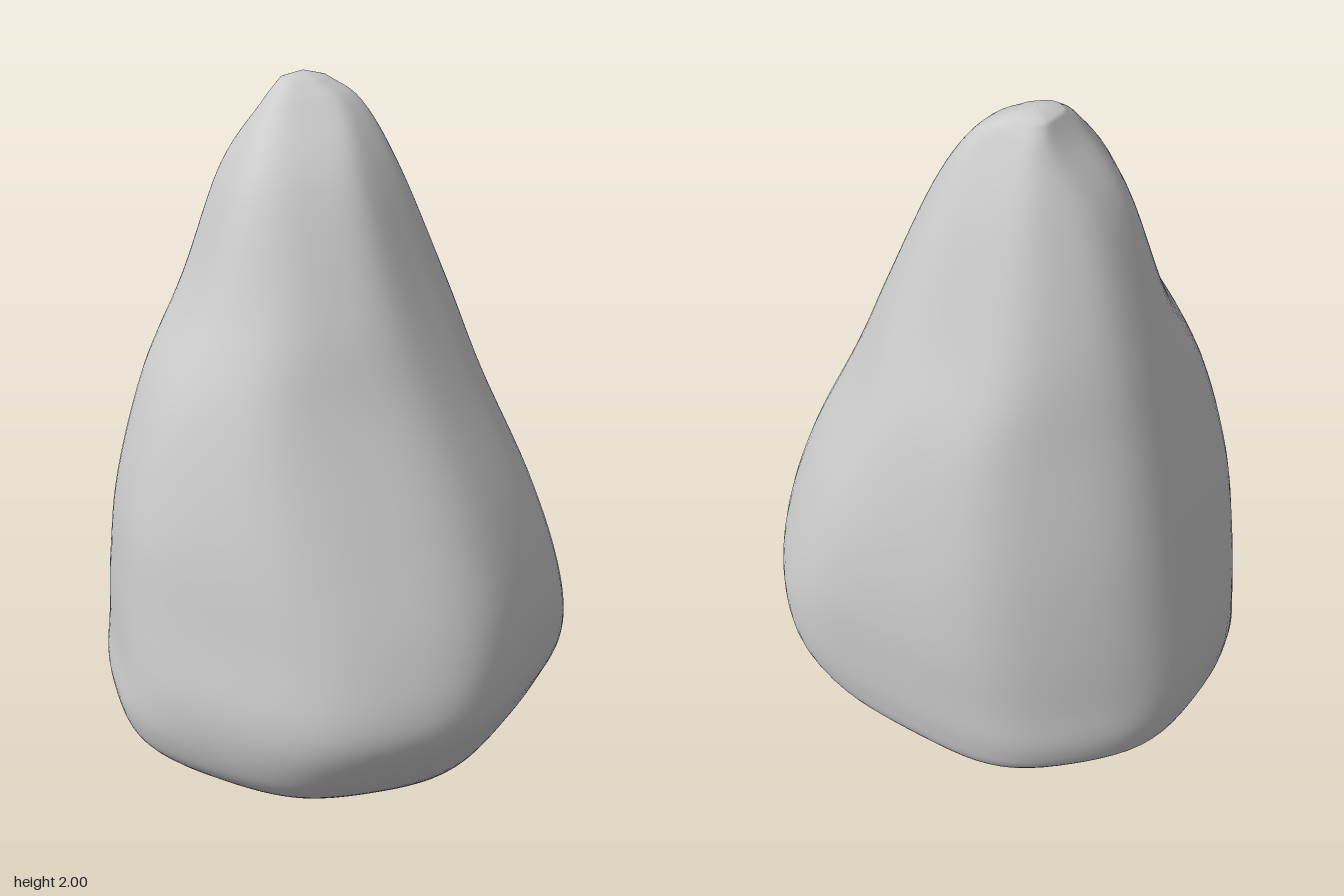
import * as THREE from 'three';

// Each row: height, then the rock's reach from the axis in eight directions,
// turning from +x through +z, -x and -z in steps of 45 degrees.
const levels = [
  [0.00, 0.08, 0.08, 0.08, 0.08, 0.10, 0.09, 0.08, 0.08],
  [0.04, 0.27, 0.25, 0.23, 0.23, 0.21, 0.27, 0.24, 0.26],
  [0.10, 0.43, 0.38, 0.39, 0.41, 0.37, 0.47, 0.43, 0.43],
  [0.20, 0.55, 0.50, 0.54, 0.57, 0.60, 0.65, 0.63, 0.55],
  [0.30, 0.64, 0.56, 0.63, 0.63, 0.66, 0.69, 0.68, 0.58],
  [0.45, 0.66, 0.62, 0.69, 0.65, 0.65, 0.70, 0.67, 0.59],
  [0.65, 0.62, 0.61, 0.64, 0.62, 0.64, 0.67, 0.65, 0.59],
  [0.90, 0.54, 0.52, 0.53, 0.58, 0.61, 0.62, 0.61, 0.56],
  [1.20, 0.41, 0.37, 0.39, 0.49, 0.52, 0.55, 0.54, 0.49],
  [1.45, 0.32, 0.25, 0.29, 0.37, 0.39, 0.48, 0.48, 0.39],
  [1.75, 0.20, 0.11, 0.13, 0.24, 0.28, 0.37, 0.37, 0.28],
  [1.92, 0.11, -0.01, -0.04, 0.07, 0.17, 0.25, 0.29, 0.20],
  [1.985, 0.02, -0.11, -0.13, -0.03, 0.11, 0.21, 0.245, 0.16],
];
const SIDES = 96, STEPS = 6, SHARPNESS = 12;

// Rounded octagon that touches the eight reaches of one level
function crossSection(row) {
  const [y, ...reach] = row;
  const cx = (reach[0] - reach[4]) / 2, cz = (reach[2] - reach[6]) / 2;
  const points = [];
  for (let j = 0; j < SIDES; j++) {
    const a = (j / SIDES) * Math.PI * 2;
    let sum = 0;
    reach.forEach((d, k) => {
      const b = (k * Math.PI) / 4;
      const local = Math.max(0.01, d - cx * Math.cos(b) - cz * Math.sin(b));
      sum += Math.max(0, Math.cos(a - b) / local) ** SHARPNESS;
    });
    const r = sum ** (-1 / SHARPNESS);
    points.push(cx + r * Math.cos(a), y, cz + r * Math.sin(a));
  }
  return { points, cx, cz };
}

function rockGeometry() {
  // Smooth interpolation between the levels
  const curve = new THREE.CubicInterpolant(levels.map((_, i) => i), levels.flat(), 9, new Float32Array(9));
  const count = (levels.length - 1) * STEPS + 1;
  const rings = Array.from({ length: count }, (_, i) => crossSection(Array.from(curve.evaluate(i / STEPS))));
  const positions = rings.flatMap((ring) => ring.points);
  const index = [];
  for (let i = 0; i < count - 1; i++) {
    for (let j = 0; j < SIDES; j++) {
      const a = i * SIDES + j, b = i * SIDES + ((j + 1) % SIDES);
      index.push(a, a + SIDES, b, b, a + SIDES, b + SIDES);
    }
  }
  // Close the underside and the tip
  const bottom = count * SIDES, top = bottom + 1, last = (count - 1) * SIDES;
  positions.push(rings[0].cx, 0, rings[0].cz, rings[count - 1].cx, 2, rings[count - 1].cz);
  for (let j = 0; j < SIDES; j++) {
    const n = (j + 1) % SIDES;
    index.push(bottom, j, n, top, last + n, last + j);
  }
  const geometry = new THREE.BufferGeometry();
  geometry.setAttribute('position', new THREE.Float32BufferAttribute(positions, 3));
  geometry.setIndex(index);
  geometry.computeVertexNormals();
  return geometry;
}

export function createModel() {
  const group = new THREE.Group();
  group.name = 'standingRock';
  const rock = new THREE.Mesh(rockGeometry(), new THREE.MeshStandardMaterial({ color: 0xcccccc }));
  rock.name = 'rock';
  group.add(rock);
  return group;
}
